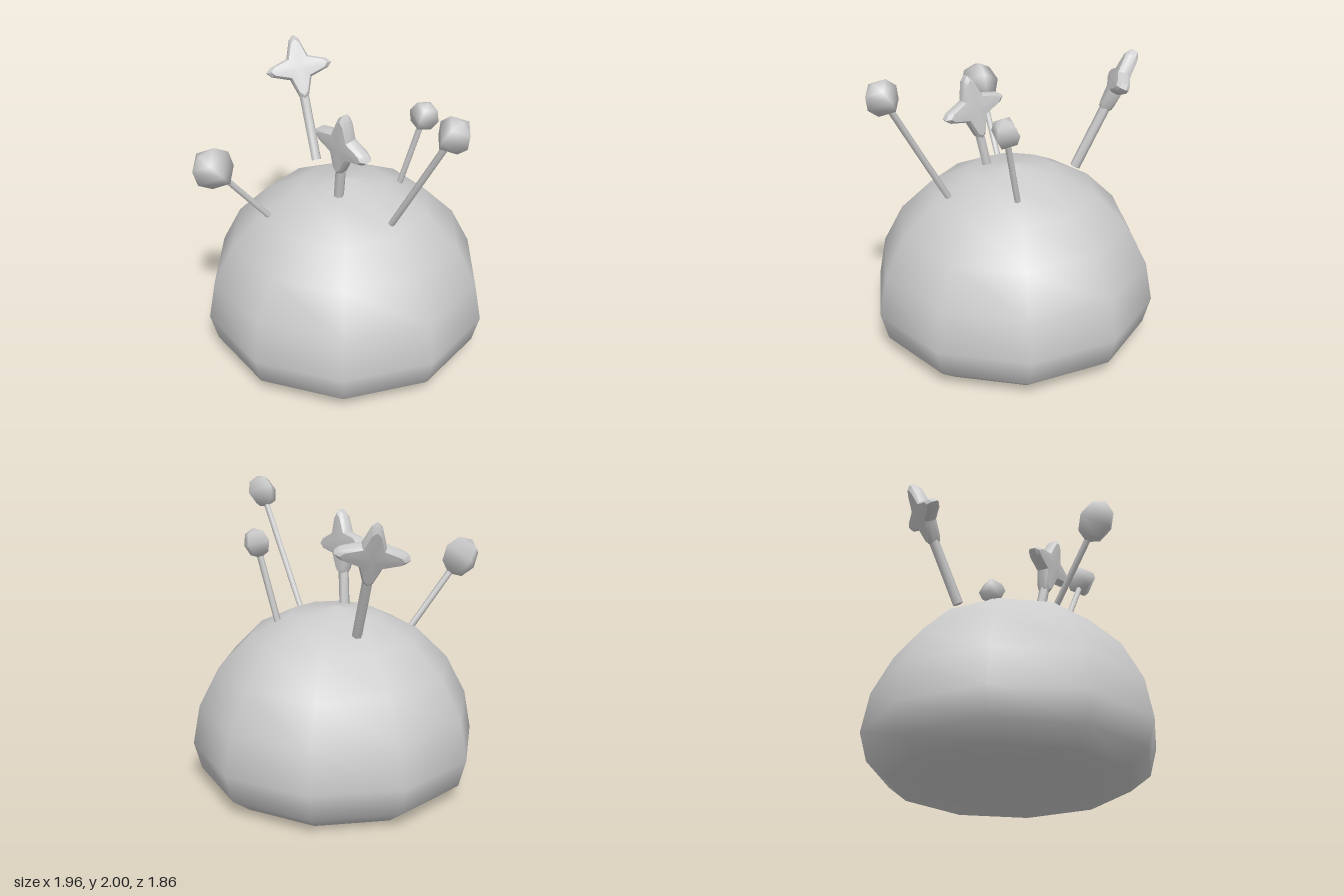
import * as THREE from 'three';
import { toCreasedNormals } from 'three/addons/utils/BufferGeometryUtils.js';

const v3 = (a) => new THREE.Vector3(...a);

// Four-pointed star with bevelled rim and slightly puffed faces, lying in the XY plane
function starGeometry() {
  const profile = [[0, -0.055], [0.86, -0.045], [1, -0.022], [1, 0.022], [0.86, 0.045], [0, 0.055]]
    .map(([r, y]) => new THREE.Vector2(r, y));
  const geo = new THREE.LatheGeometry(profile, 16);
  const pos = geo.attributes.position;
  // Per arm: tip, shoulder, inner corner, shoulder
  const radii = [0.23, 0.202, 0.105, 0.202];
  const offsets = [0, 0.16, Math.PI / 4, Math.PI / 2 - 0.16];
  for (let i = 0; i < pos.count; i++) {
    const seg = Math.floor(i / profile.length);
    const p = profile[i % profile.length];
    const angle = Math.floor(seg / 4) * Math.PI / 2 + offsets[seg % 4];
    const r = p.x * radii[seg % 4];
    pos.setXYZ(i, Math.sin(angle) * r, p.y, Math.cos(angle) * r);
  }
  geo.rotateX(Math.PI / 2);
  return toCreasedNormals(geo, 0.6);
}

export function createModel() {
  const model = new THREE.Group();
  model.name = 'pincushion';
  const grey = new THREE.MeshStandardMaterial({ color: 0xcccccc });
  grey.name = 'light grey';

  const add = (parent, geo, name) => {
    const mesh = new THREE.Mesh(geo, grey);
    mesh.name = name;
    parent.add(mesh);
    return mesh;
  };

  // Ten-sided cushion with a flat base
  const profile = [[0, 0], [0.79, 0], [0.93, 0.11], [0.98, 0.3], [0.93, 0.57],
    [0.79, 0.84], [0.575, 1.055], [0.305, 1.19], [0, 1.24]].map(([r, y]) => new THREE.Vector2(r, y));
  add(model, new THREE.LatheGeometry(profile, 10, Math.PI / 2), 'cushion');

  // Stem from just under the cushion surface up to the head; local y follows the lean
  function pin(name, base, head, radius, sides) {
    const start = v3(base), dir = v3(head).sub(start);
    const length = dir.length(), sink = 0.03;
    const group = new THREE.Group();
    group.name = name;
    group.position.copy(start);
    group.rotation.order = 'YXZ';
    group.rotation.set(0, -Math.atan2(dir.z, dir.x), -Math.acos(dir.y / length));
    const stem = new THREE.CylinderGeometry(radius, radius, length + sink, sides);
    stem.translate(0, (length - sink) / 2, 0);
    add(group, toCreasedNormals(stem, 1.1), 'stem');
    model.add(group);
    return { group, length };
  }

  // Ball-headed pins
  const balls = [
    ['largeBallPin', [-0.42, 1.07, 0.36], [-0.65, 1.515, 0.64], 0.142],
    ['smallBallPin', [0.325, 1.165, -0.215], [0.47, 1.665, -0.215], 0.102],
    ['tallBallPin', [0.405, 1.105, 0.26], [0.815, 1.885, 0.44], 0.118],
  ];
  for (const [name, base, head, size] of balls) {
    const { group, length } = pin(name, base, head, 0.022, 6);
    add(group, new THREE.SphereGeometry(size, 4, 4), 'ballHead').position.y = length;
  }

  // Star-headed pins: base, star centre, direction across the star
  const stars = [
    ['backStarPin', [-0.33, 1.19, -0.32], [-0.52, 1.75, -0.52], [0.39, 0.06, -0.24]],
    ['frontStarPin', [0.02, 1.21, 0.19], [0.07, 1.615, 0.26], [0.36, -0.06, 0.17]],
  ];
  for (const [name, base, centre, across] of stars) {
    pin(name, base, centre, 0.035, 6);
    const up = v3(centre).sub(v3(base)).normalize();
    const normal = v3(across).cross(up).normalize();
    const side = up.clone().cross(normal);
    const star = add(model, starGeometry(), name + 'Head');
    star.quaternion.setFromRotationMatrix(new THREE.Matrix4().makeBasis(side, up, normal));
    star.position.copy(v3(centre));
  }
  return model;
}
